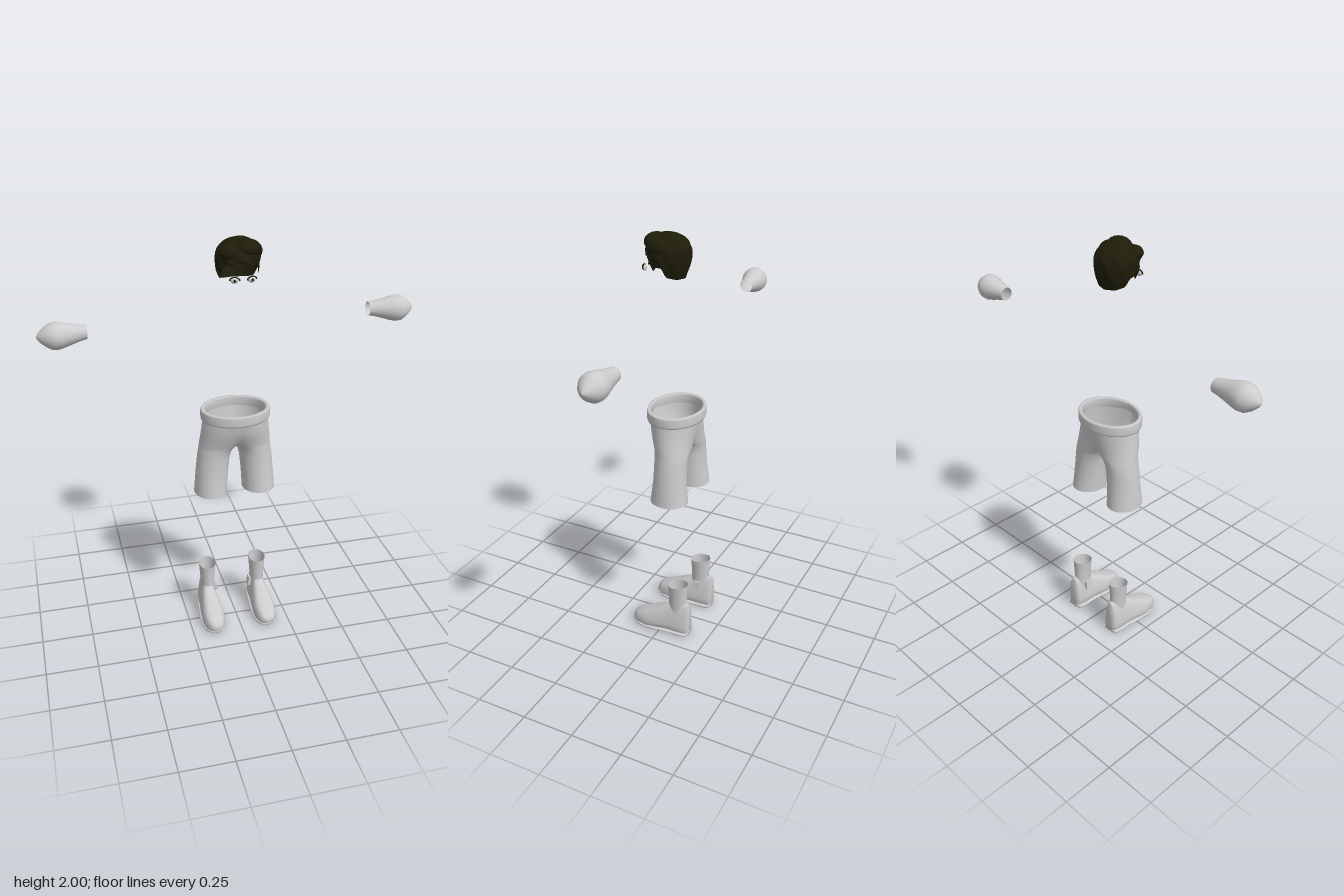
import * as THREE from 'three';
import { mergeVertices, mergeGeometries } from 'three/addons/utils/BufferGeometryUtils.js';

const cloth = new THREE.MeshStandardMaterial({ color: 0xcccccc, side: THREE.DoubleSide });
cloth.name = 'pale grey';
const dark = new THREE.MeshStandardMaterial({ color: 0x1e1d0a, side: THREE.DoubleSide });
dark.name = 'dark brown';

// Skin equal-length closed rings of [x, y, z]; keep() may drop a quad
function loft(rings, keep = () => true) {
  const n = rings[0].length, idx = [];
  for (let i = 0; i < rings.length - 1; i++) {
    for (let j = 0; j < n; j++) {
      const k = (j + 1) % n;
      if (!keep(rings[i][j], rings[i][k], rings[i + 1][j], rings[i + 1][k])) continue;
      const a = i * n + j, b = i * n + k, c = a + n, d = b + n;
      idx.push(a, c, b, b, c, d);
    }
  }
  const g = new THREE.BufferGeometry();
  g.setAttribute('position', new THREE.Float32BufferAttribute(rings.flat(2), 3));
  g.setIndex(idx);
  g.computeVertexNormals();
  return g;
}

// Mirror a geometry across x = 0, keeping faces outward
function mirrored(geo) {
  const g = geo.clone(), p = g.attributes.position, nm = g.attributes.normal, ix = g.index;
  for (let i = 0; i < p.count; i++) {
    p.setX(i, -p.getX(i));
    nm.setX(i, -nm.getX(i));
  }
  for (let i = 0; i < ix.count; i += 3) {
    const t = ix.getX(i);
    ix.setX(i, ix.getX(i + 1));
    ix.setX(i + 1, t);
  }
  return g;
}

function add(parent, name, geo, mat) {
  const m = new THREE.Mesh(geo, mat);
  m.name = name;
  parent.add(m);
  return m;
}

function addPair(parent, name, geo, mat) {
  add(parent, 'left' + name, geo, mat);
  add(parent, 'right' + name, mirrored(geo), mat);
}

// Two open legs that join above the crotch into one open waist
function trousersGeometry() {
  const rows = [ // y, centre x, radius x, centre z, radius z
    [0.74, 0.12, 0.08, -0.033, 0.092], [0.79, 0.117, 0.079, -0.033, 0.086],
    [0.85, 0.112, 0.079, -0.033, 0.08], [0.92, 0.105, 0.079, -0.033, 0.078],
    [0.96, 0.097, 0.081, -0.033, 0.08], [0.985, 0.085, 0.089, -0.032, 0.082],
    [1.0, 0.071, 0.102, -0.03, 0.084], [1.04, 0.048, 0.12, -0.022, 0.094],
    [1.09, 0.022, 0.139, -0.016, 0.106], [1.15, 0, 0.155, -0.014, 0.116]];
  const outer = 24, inner = 12;
  const rings = rows.map(([y, cx, rx, cz, rz]) => {
    const cut = Math.min(Math.acos(-Math.min(1, cx / rx)), 0.75 * Math.PI);
    const ring = [];
    for (let i = 0; i < outer + inner; i++) {
      const t = i <= outer ? -cut + 2 * cut * i / outer
        : cut + (2 * Math.PI - 2 * cut) * (i - outer) / inner;
      const x = cx + rx * Math.cos(t);
      ring.push([x < 0.001 ? 0 : x, y, cz + rz * Math.sin(t)]);
    }
    return ring;
  });
  const half = loft(rings, (...q) => q.some((p) => p[0] > 0.0005));
  const g = mergeGeometries([half, mirrored(half)]);
  g.deleteAttribute('normal');
  const whole = mergeVertices(g, 1e-4);
  whole.computeVertexNormals();
  return whole;
}

// Shoe body from toe to heel; a sole is the same outline kept low
function shoeGeometry(sole) {
  const rows = [ // z, half width, bottom, top
    [0.155, 0.008, 0.025, 0.04], [0.149, 0.03, 0.01, 0.058], [0.12, 0.049, 0, 0.08],
    [0.07, 0.059, 0, 0.1], [0.02, 0.058, 0.006, 0.128], [-0.03, 0.053, 0.01, 0.153],
    [-0.06, 0.049, 0.006, 0.17], [-0.1, 0.047, 0, 0.18], [-0.14, 0.042, 0, 0.184],
    [-0.152, 0.03, 0.004, 0.176]];
  const pow = (v, e) => Math.sign(v) * Math.abs(v) ** e;
  const rings = rows.map(([z, w, lo, top]) => {
    const hi = sole ? Math.min(top, 0.022) : top;
    const bottom = sole ? Math.min(lo, 0.012) : lo;
    return Array.from({ length: 24 }, (_, i) => {
      const t = i / 24 * 2 * Math.PI, v = pow(Math.sin(t), 0.7);
      const y = (bottom + hi) / 2 + v * (hi - bottom) / 2;
      const taper = 1 - 0.4 * Math.min(1, Math.max(0, (y - 0.04) / 0.13));
      const x = (w + (sole ? 0.003 : 0)) * pow(Math.cos(t), 0.6) * taper;
      return [0.135 + x, y, z];
    });
  });
  const cap = (r) => {
    const y = r.reduce((s, p) => s + p[1], 0) / r.length;
    return r.map(() => [0.135, y, r[0][2]]);
  };
  return loft([cap(rings[0]), ...rings, cap(rings.at(-1))]);
}

// Open sock with a slanted top edge
function sockGeometry() {
  const rows = [[0.12, 0.036, 0.046], [0.18, 0.035, 0.046], [0.23, 0.039, 0.048], [0.28, 0.043, 0.051]];
  return loft(rows.map(([y, rx, rz]) => Array.from({ length: 24 }, (_, i) => {
    const t = i / 24 * 2 * Math.PI;
    return [0.132 + rx * Math.cos(t), y - 0.006 * Math.sin(t), -0.086 + rz * Math.sin(t)];
  })));
}

// Hair shell whose lower edge dips at the sideburns and nape
function hairGeometry() {
  const edge = [[0, 1.905], [25, 1.89], [40, 1.9], [58, 1.87], [70, 1.838], [78, 1.857],
    [97, 1.857], [107, 1.815], [140, 1.803], [180, 1.8]];
  const edgeY = (deg) => {
    const k = Math.max(1, edge.findIndex((e) => e[0] >= deg));
    const [a, b] = [edge[k - 1], edge[k]];
    return a[1] + (b[1] - a[1]) * (deg - a[0]) / (b[0] - a[0]);
  };
  const cols = 72, yc = 1.915, rings = [];
  for (let i = 0; i <= 18; i++) {
    const s = 1 - i / 18, ring = [];
    for (let j = 0; j < cols; j++) {
      const t = j / cols * 2 * Math.PI; // t = 90 degrees faces front
      const deg = Math.min(180, Math.acos(Math.sin(t)) * 180 / Math.PI);
      let r, y;
      if (s < 0.6) {
        r = Math.sin(s / 0.6 * Math.PI / 2);
        y = yc + 0.08 * Math.cos(s / 0.6 * Math.PI / 2);
      } else {
        y = yc + (edgeY(deg) - yc) * (s - 0.6) / 0.4;
        r = 1 - 0.25 * ((yc - y) / 0.115) ** 2;
      }
      const lump = 1 + 0.03 * r * Math.sin(9 * t + 10 * s);
      ring.push([0.098 * r * lump * Math.cos(t), y, 0.028 + 0.102 * r * lump * Math.sin(t)]);
    }
    rings.push(ring);
  }
  return loft(rings);
}

export function createModel() {
  const model = new THREE.Group();
  model.name = 'figure';

  // Hair with swept locks on top
  const hair = new THREE.Group();
  hair.name = 'hair';
  model.add(hair);
  add(hair, 'hairShell', hairGeometry(), dark);
  const locks = [[-0.05, 1.945, 0.08, 0.045, 0.033, 0.042], [0.03, 1.958, 0.075, 0.062, 0.04, 0.05],
    [0.065, 1.94, 0.045, 0.04, 0.04, 0.05], [0.01, 1.965, 0.03, 0.06, 0.034, 0.06]];
  for (const [x, y, z, a, b, c] of locks) {
    const lock = add(hair, 'hairLock', new THREE.IcosahedronGeometry(1, 2), dark);
    lock.position.set(x, y, z);
    lock.scale.set(a, b, c);
  }

  // Eyes with upper lashes
  const eye = new THREE.SphereGeometry(1, 20, 12);
  eye.scale(0.018, 0.013, 0.009).rotateY(0.25).translate(0.038, 1.836, 0.128);
  addPair(model, 'Eye', eye, cloth);
  const lash = new THREE.TorusGeometry(0.02, 0.003, 6, 16, Math.PI);
  lash.scale(1.1, 0.75, 1.3).rotateY(0.25).translate(0.038, 1.836, 0.132);
  addPair(model, 'Lash', lash, dark);
  const pupil = new THREE.CylinderGeometry(0.006, 0.006, 0.003, 16);
  pupil.rotateX(Math.PI / 2).rotateY(0.25).translate(0.039, 1.836, 0.1365);
  addPair(model, 'Pupil', pupil, dark);

  // Mitten hands, open at the wrist
  const profile = [[0.032, 0], [0.037, 0.03], [0.047, 0.07], [0.057, 0.105], [0.062, 0.13],
    [0.06, 0.155], [0.046, 0.18], [0.024, 0.205], [0.008, 0.217], [0, 0.22]];
  const hand = new THREE.LatheGeometry(profile.map((p) => new THREE.Vector2(...p)), 28);
  hand.rotateZ(-Math.PI / 2).translate(0.658, 1.589, -0.061);
  const hp = hand.attributes.position;
  for (let i = 0; i < hp.count; i++) {
    const wrist = Math.max(0, 1 - (hp.getX(i) - 0.658) / 0.12);
    hp.setZ(i, hp.getZ(i) - 0.009 * wrist);
    hp.setY(i, hp.getY(i) + 0.004 * wrist);
  }
  addPair(model, 'Hand', hand, cloth);

  // Trousers and rolled waistband
  add(model, 'trousers', trousersGeometry(), cloth);
  const band = [[0.93, 1.136], [0.98, 1.134], [1, 1.142], [1, 1.178], [0.98, 1.186],
    [0.9, 1.186], [0.87, 1.18], [0.87, 1.14], [0.93, 1.136]];
  const waist = new THREE.LatheGeometry(band.map((p) => new THREE.Vector2(...p)), 48);
  waist.scale(0.166, 1, 0.132).translate(0, 0, -0.013);
  waist.computeVertexNormals();
  add(model, 'waistband', waist, cloth);

  // Shoes, soles, socks and inner ankle tabs
  addPair(model, 'Shoe', shoeGeometry(false), cloth);
  addPair(model, 'Sole', shoeGeometry(true), cloth);
  addPair(model, 'Sock', sockGeometry(), cloth);
  const tab = new THREE.BoxGeometry(0.014, 0.045, 0.035);
  tab.rotateZ(-0.15).translate(0.092, 0.135, -0.085);
  addPair(model, 'AnkleTab', tab, cloth);

  return model;
}
